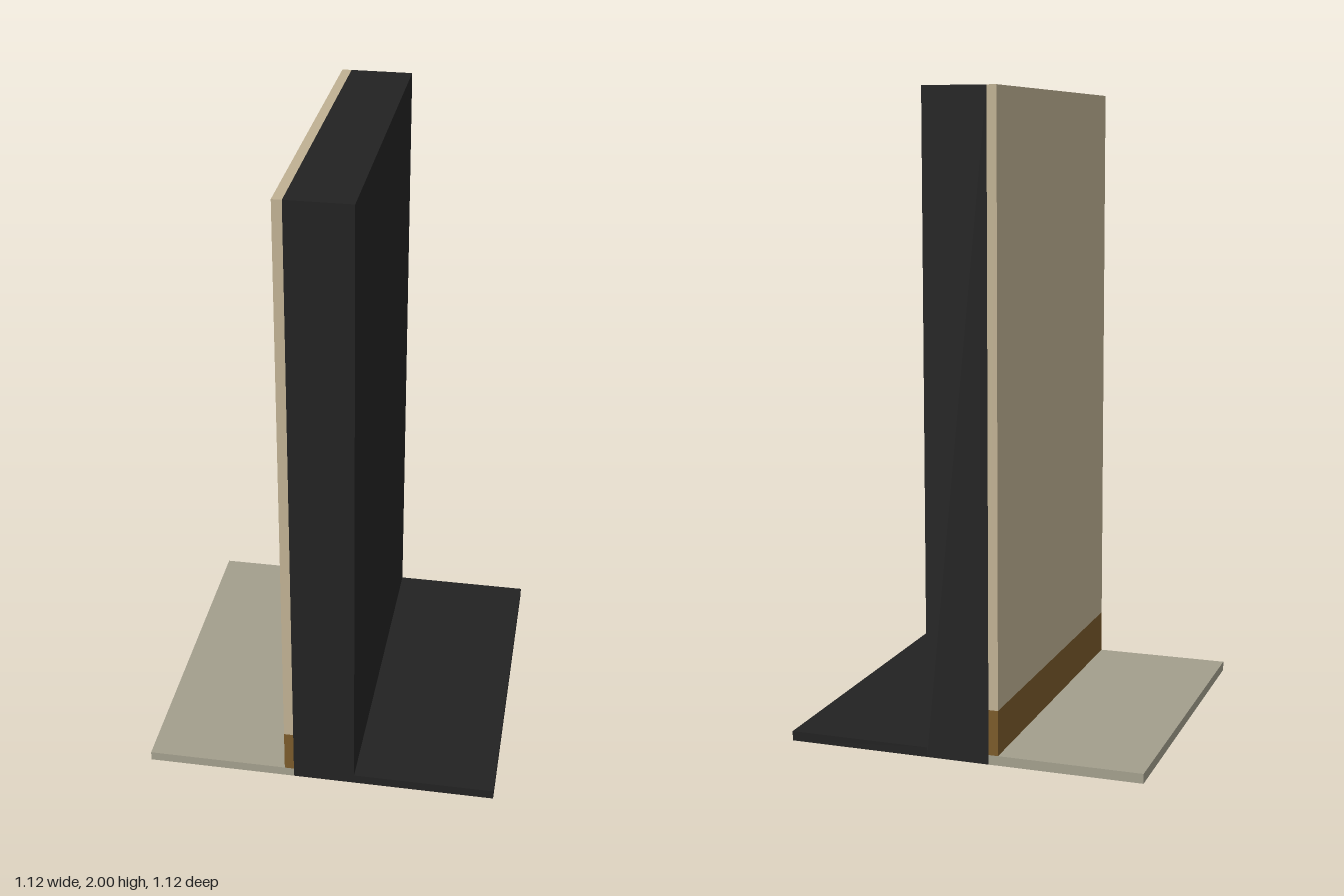
import * as THREE from 'three';

const DEPTH = 1.125;

function flat(name, color) {
  const m = new THREE.MeshStandardMaterial({ color });
  m.name = name;
  return m;
}

export function createModel() {
  const black = flat('black', 0x222222);
  const cream = flat('cream', 0xbfb092);
  const brown = flat('brown', 0x7a5a2a);
  const stone = flat('stone', 0xa29e8c);

  const group = new THREE.Group();
  group.name = 'wallSection';

  // A full-depth slab between two x and two y limits
  const slab = (name, x0, x1, y0, y1, material) => {
    const mesh = new THREE.Mesh(new THREE.BoxGeometry(x1 - x0, y1 - y0, DEPTH), material);
    mesh.name = name;
    mesh.position.set((x0 + x1) / 2, (y0 + y1) / 2, 0);
    group.add(mesh);
  };

  // Wall core, with the floor's colour on its underside
  slab('wallCore', -0.085, 0.1125, 0, 2, [black, black, black, stone, black, black]);

  // Facing panel above a skirting band
  slab('facingPanel', -0.115, -0.085, 0.17, 2, cream);
  slab('skirting', -0.115, -0.085, 0.03, 0.17, brown);

  // Floors on both sides of the wall
  slab('innerFloor', -0.5625, -0.085, 0, 0.03, stone);
  slab('outerFloor', 0.1125, 0.5625, 0, 0.03, black);

  return group;
}
